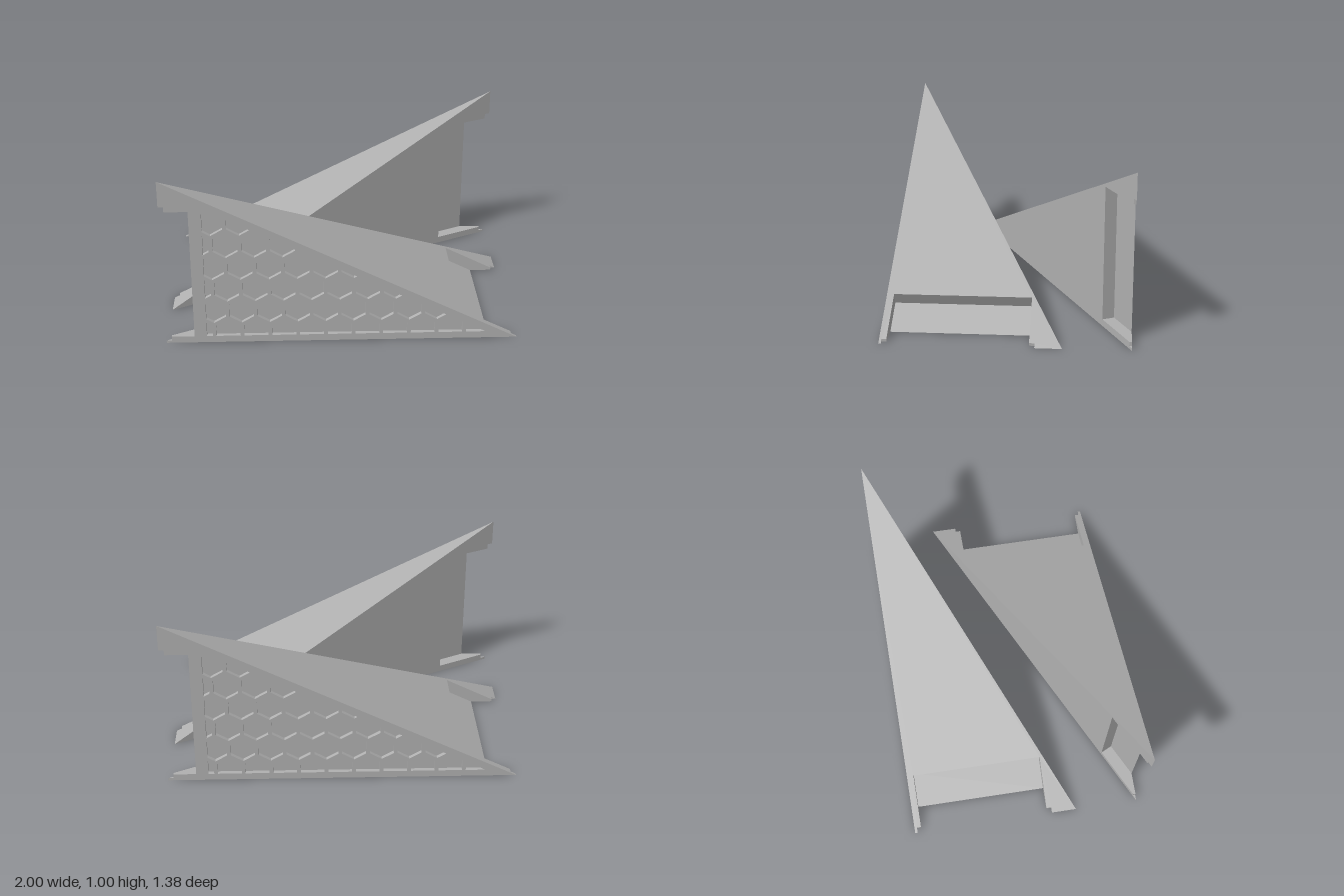
import * as THREE from 'three';
import { mergeGeometries } from 'three/addons/utils/BufferGeometryUtils.js';

const FRONT = 0.688;      // z of the upright panel
const POCKET = 0.025;     // depth of the hexagon pockets

// Flat polygon, drawn in 2D and placed in space by map(u, v)
function face(points, map, flip = false, holes = []) {
  const toVec = (list) => list.map(([u, v]) => new THREE.Vector2(u, v));
  const shape = new THREE.Shape(toVec(points));
  holes.forEach((h) => shape.holes.push(new THREE.Path(toVec(h))));
  const geo = new THREE.ShapeGeometry(shape);
  const pos = geo.attributes.position;
  for (let i = 0; i < pos.count; i++) pos.setXYZ(i, ...map(pos.getX(i), pos.getY(i)));
  if (flip) geo.index.array.reverse();
  geo.deleteAttribute('uv');
  geo.computeVertexNormals();
  return geo.toNonIndexed();
}

// Keeps the part of a convex polygon where a*x + b*y <= c
function clip(poly, [a, b, c]) {
  const out = [];
  poly.forEach((p, i) => {
    const q = poly[(i + 1) % poly.length];
    const dp = a * p[0] + b * p[1] - c;
    const dq = a * q[0] + b * q[1] - c;
    if (dp <= 0) out.push(p);
    if (dp * dq < 0) {
      const t = dp / (dp - dq);
      out.push([p[0] + (q[0] - p[0]) * t, p[1] + (q[1] - p[1]) * t]);
    }
  });
  return out;
}

function area(poly) {
  return poly.reduce((sum, p, i) => {
    const q = poly[(i + 1) % poly.length];
    return sum + (p[0] * q[1] - q[0] * p[1]) / 2;
  }, 0);
}

// Honeycomb cells trimmed to the triangular panel
function honeycomb() {
  const pitch = 0.158, radius = 0.079;
  const limits = [[-1, 0, 0.77], [0, -1, -0.04], [0.5, 1, 0.45]];
  const cells = [];
  for (let row = 0; row < 6; row++) {
    for (let col = -1; col < 11; col++) {
      const cx = (row % 2 ? -0.726 : -0.647) + col * pitch;
      const cy = 0.067 + row * pitch * Math.sqrt(3) / 2;
      let cell = [];
      for (let k = 0; k < 6; k++) {
        const a = Math.PI / 6 + k * Math.PI / 3;
        cell.push([cx + radius * Math.cos(a), cy + radius * Math.sin(a)]);
      }
      limits.forEach((l) => { cell = clip(cell, l); });
      if (cell.length > 2 && area(cell) > 0.0012) cells.push(cell);
    }
  }
  return cells;
}

// Upright triangular panel with notched short edge and sunken cells
function panelGeometry() {
  const outline = [[-1, 0], [1, 0], [-1, 1], [-1, 0.85], [-0.97, 0.85], [-0.97, 0.82],
    [-0.84, 0.82], [-0.84, 0.04], [-0.97, 0.04], [-0.97, 0.015], [-1, 0.015]];
  const cells = honeycomb();
  const parts = [face(outline, (x, y) => [x, y, FRONT], false, cells)];
  for (const cell of cells) {
    parts.push(face(cell, (x, y) => [x, y, FRONT - POCKET]));
    cell.forEach((p, i) => {
      const q = cell[(i + 1) % cell.length];
      parts.push(face([[0, 0], [1, 0], [1, 1], [0, 1]], (u, v) => [
        p[0] + (q[0] - p[0]) * u, p[1] + (q[1] - p[1]) * u, FRONT - POCKET * v]));
    });
  }
  return mergeGeometries(parts);
}

// Sloping face, with the end channel cut out; w runs back from the panel
function slopeGeometry() {
  const outline = [[-1, 0], [1, 0], [1, 0.015], [0.97, 0.015], [0.97, 0.04], [0.68, 0.04],
    [0.68, 0.82], [0.97, 0.82], [0.97, 0.85], [1, 0.85], [1, 1]];
  return face(outline, (x, w) => [x, (1 - x) / 2, FRONT - w]);
}

// Recessed seat at the low end, with its step, side walls and tip notches
function recessGeometry() {
  const box = (u0, v0, u1, v1) => [[u0, v0], [u1, v0], [u1, v1], [u0, v1]];
  const atW = (w) => (x, y) => [x, y, FRONT - w];
  const side = [[0.68, 0.16], [0.65, 0.095], [0.84, 0], [0.97, 0], [0.97, 0.015]];
  const tip = [[0.97, 0], [1, 0], [0.97, 0.015]];
  const atTip = (w, y) => [0.97, y, FRONT - w];
  return mergeGeometries([
    face(box(0.65, 0.04, 0.84, 0.82), (x, w) => [x, (0.84 - x) / 2, FRONT - w]),
    face(box(0.04, 0, 0.82, 1), (w, k) => [0.65 + 0.03 * k, 0.095 + 0.065 * k, FRONT - w]),
    face(side, atW(0.04), true),
    face(side, atW(0.82)),
    face(tip, atW(0.015), true),
    face(tip, atW(0.85)),
    face(box(0.015, 0, 0.04, 0.015), atTip),
    face(box(0.82, 0, 0.85, 0.015), atTip),
  ]);
}

export function createModel() {
  const grey = new THREE.MeshStandardMaterial({ color: 0xb0b0b0, side: THREE.DoubleSide });
  grey.name = 'grey';
  const parts = {
    honeycombPanel: panelGeometry(),
    slopeFace: slopeGeometry(),
    endRecess: recessGeometry(),
  };

  const model = new THREE.Group();
  model.name = 'cornerBracketPair';
  for (const bracketName of ['frontBracket', 'backBracket']) {
    const bracket = new THREE.Group();
    bracket.name = bracketName;
    for (const halfName of ['uprightHalf', 'baseHalf']) {
      const half = new THREE.Group();
      half.name = halfName;
      for (const [name, geo] of Object.entries(parts)) {
        const mesh = new THREE.Mesh(geo, grey);
        mesh.name = name;
        half.add(mesh);
      }
      // The base half is the upright half turned over
      if (halfName === 'baseHalf') {
        half.quaternion.setFromAxisAngle(new THREE.Vector3(0, 1, -1).normalize(), Math.PI);
        half.position.set(0, FRONT, FRONT);
      }
      bracket.add(half);
    }
    if (bracketName === 'backBracket') bracket.rotation.y = Math.PI;
    model.add(bracket);
  }
  return model;
}
